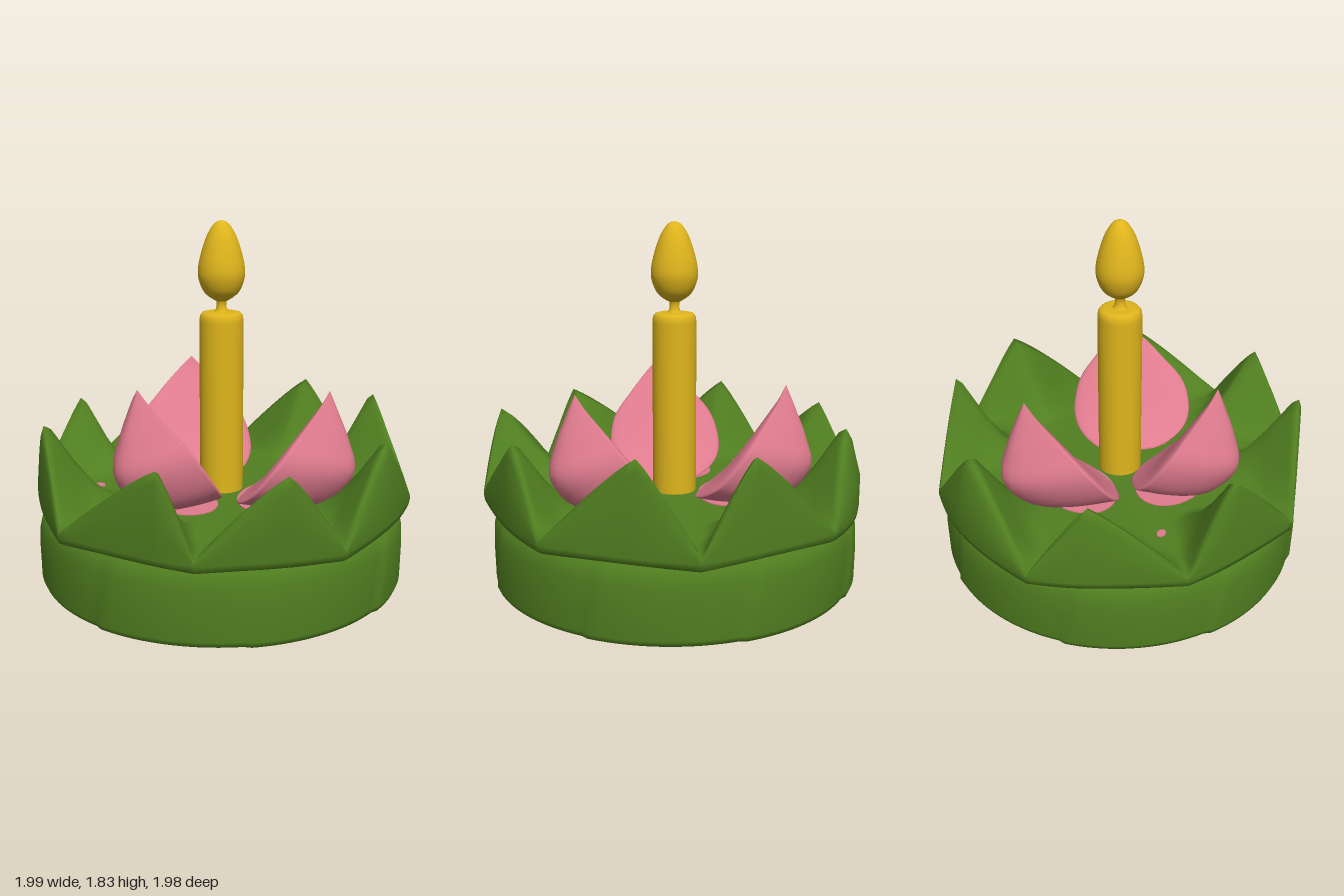
import * as THREE from 'three';

const mat = (name, color) => Object.assign(new THREE.MeshStandardMaterial({ color }), { name });
const rad = THREE.MathUtils.degToRad;
const lerp = THREE.MathUtils.lerp;
const FLOOR = 0.45;

// Closed surface from rows of points; columns wrap round, rows run upward on the outside
function loft(rows, cols, point) {
  const pos = [], idx = [];
  for (let r = 0; r < rows; r++)
    for (let c = 0; c < cols; c++) pos.push(...point(r, c));
  for (let r = 0; r < rows - 1; r++)
    for (let c = 0; c < cols; c++) {
      const a = r * cols + c, b = r * cols + (c + 1) % cols;
      idx.push(a, b, b + cols, a, b + cols, a + cols);
    }
  const g = new THREE.BufferGeometry();
  g.setAttribute('position', new THREE.Float32BufferAttribute(pos, 3));
  g.setIndex(idx);
  g.computeVertexNormals();
  return g;
}

// Round base wrapped in slightly overlapping strips
function baseGeometry() {
  const profile = [[0, 0], [0.91, 0], [0.91, 0], [0.935, 0.012], [0.947, 0.04], [0.949, 0.2], [0.945, 0.3], [0.93, 0.37], [0.89, 0.4]];
  const cols = 160;
  return loft(profile.length, cols, (r, c) => {
    const [R, y] = profile[r];
    const a = (c / cols) * Math.PI * 2 + (y - 0.2) * 0.2;
    const strip = ((c / cols) * 8 + 0.7) % 1;
    const d = R * (1 - 0.014 * strip);
    return [d * Math.sin(a), y, d * Math.cos(a)];
  });
}

// Ring of eight folded leaves, with the floor inside it
function leafRingGeometry() {
  const valleys = [-2, 41, 82, 132, 178, 222, 272, 317, 358];
  const radii = [0.99, 0.98, 1, 0.98, 0.99, 0.97, 1, 0.97, 0.99];
  const peaks = [30, 65, 111, 160, 195, 244, 289, 333];
  const heights = [0.84, 0.83, 0.82, 0.88, 0.87, 0.85, 0.83, 0.86];
  const leans = [0.02, 0.06, 0, 0, 0, 0, 0, 0];
  const bulges = [0.02, 0.03, 0.04, 0.02, 0.01, 0.07, 0.03, 0.02];
  const steps = 20, rows = 13;
  const corner = (k) => [radii[k] * Math.sin(rad(valleys[k])), radii[k] * Math.cos(rad(valleys[k]))];
  return loft(rows, steps * 8, (r, c) => {
    const k = Math.floor(c / steps), s = (c % steps) / steps;
    const mid = (peaks[k] - valleys[k]) / (valleys[k + 1] - valleys[k]);
    const f = s < 0.5 ? s * 2 * mid : mid + (s * 2 - 1) * (1 - mid);
    const b = 1 - Math.abs(s * 2 - 1);            // 0 in the valley, 1 at the peak
    const round = Math.sin(b * Math.PI / 2);      // same, rounded at the middle
    const a = 0.02 + (heights[k] - 0.44) * (b - 0.03 * b ** 8 + 0.12 * b * (1 - b));
    const lean = leans[k] * b, bulge = bulges[k] * round;
    const section = [
      [0.9, 0.39], [0.97 + bulge / 2, 0.375], [0.995 + bulge, 0.39], [1 + bulge, 0.42],
      [1 + bulge + lean / 2, 0.42 + 0.45 * a], [1 + bulge / 3 + lean, 0.42 + 0.88 * a],
      [0.99 + lean, 0.42 + a], [0.96 - 0.01 * b + lean, 0.42 + 0.95 * a],
      [0.88 - 0.05 * round + lean / 2, lerp(FLOOR, 0.42 + 0.55 * a, round)],
      [0.8 - 0.07 * round, lerp(FLOOR, 0.42 + 0.27 * a, round)],
      [0.74 - 0.1 * round, FLOOR + 0.02 * round], [0.66 - 0.08 * round, FLOOR], [0, FLOOR],
    ];
    const [scale, y] = section[r];
    const p = corner(k), q = corner(k + 1);
    return [lerp(p[0], q[0], f) * scale, y, lerp(p[1], q[1], f) * scale];
  });
}

// Thick boat-shaped petal leaning outward along +z; skew shifts its rim sideways
function petalGeometry(skew) {
  // half width, inner y, inner z, outer y, outer z
  const stations = [
    [0.06, 0.44, 0.10, 0.42, 0.12],
    [0.23, 0.51, 0.18, 0.42, 0.36],
    [0.30, 0.61, 0.27, 0.46, 0.54],
    [0.275, 0.76, 0.37, 0.63, 0.665],
    [0.17, 0.89, 0.45, 0.79, 0.64],
    [0.075, 0.99, 0.51, 0.93, 0.59],
    [0, 1.06, 0.54, 1.06, 0.54],
  ];
  const curve = (y, z) => new THREE.CatmullRomCurve3(
    stations.map((s) => new THREE.Vector3(s[0], s[y], s[z])), false, 'catmullrom', 0.5);
  const inner = curve(1, 2), outer = curve(3, 4);
  const rows = 29, cols = 40;
  return loft(rows, cols, (r, c) => {
    const I = inner.getPoint(r / (rows - 1)), O = outer.getPoint(r / (rows - 1));
    const a = (c / cols) * Math.PI * 2, sx = Math.sin(a);
    const keel = 1 - Math.abs(sx) ** 1.7;         // soft ridge on the outside
    const depth = Math.cos(a) > 0 ? lerp(0.14, 1, keel) : lerp(0.14, 0, -Math.cos(a));
    return [I.x * (sx + skew * sx * sx), lerp(I.y, O.y, depth), lerp(I.z, O.z, depth)];
  });
}

const lathe = (pts) => new THREE.LatheGeometry(pts.map(([x, y]) => new THREE.Vector2(x, y)), 40);

export function createModel() {
  const group = new THREE.Group();
  const green = mat('leafGreen', 0x517f20);
  const pink = mat('petalPink', 0xe07c8f);
  const gold = mat('candleGold', 0xdfb51c);
  const add = (name, geometry, material, parent = group) => {
    const mesh = new THREE.Mesh(geometry, material);
    mesh.name = name;
    parent.add(mesh);
    return mesh;
  };

  add('base', baseGeometry(), green);
  add('leafRing', leafRingGeometry(), green);

  // Three petals round the candle, each on a thin foot lying on the floor
  const disc = new THREE.CylinderGeometry(1, 1, 0.006, 32);
  [
    ['frontPetal', 0, 0, 1, 1, 1],
    ['leftPetal', 115, -0.15, 1.07, 0.965, 1.07],
    ['rightPetal', -115, 0.15, 1.07, 0.98, 1.07],
  ].forEach(([name, angle, skew, w, h, d]) => {
    const holder = new THREE.Group();
    holder.name = name;
    holder.rotation.y = rad(angle);
    group.add(holder);
    add(name + 'Body', petalGeometry(skew), pink, holder).scale.set(w, h, d);
    const foot = add(name + 'Foot', disc, pink, holder);
    foot.position.set(skew * 0.25, FLOOR + 0.002, 0.31);
    foot.scale.set(0.25, 1, 0.18);
  });

  // Small fallen petal scrap on the floor
  const scrap = add('petalScrap', disc, pink);
  scrap.position.set(-0.44, FLOOR + 0.003, 0.46);
  scrap.scale.set(0.03, 1, 0.02);

  // Candle, wick and flame
  add('candle', lathe([[0.112, 0.42], [0.112, 0.9], [0.112, 1.33], [0.108, 1.36], [0.096, 1.375], [0.075, 1.38], [0, 1.38]]), gold);
  add('wick', lathe([[0.045, 1.375], [0.03, 1.385], [0.024, 1.41], [0.026, 1.44], [0.04, 1.455]]), gold);
  const flame = new THREE.SplineCurve([[0, 1.43], [0.03, 1.435], [0.085, 1.475], [0.114, 1.54], [0.117, 1.6], [0.1, 1.68],
    [0.072, 1.76], [0.04, 1.812], [0.018, 1.828], [0, 1.832]].map(([x, y]) => new THREE.Vector2(x, y)));
  add('flame', lathe(flame.getPoints(36).map((p) => [Math.max(p.x, 0), p.y])), gold);

  return group;
}
